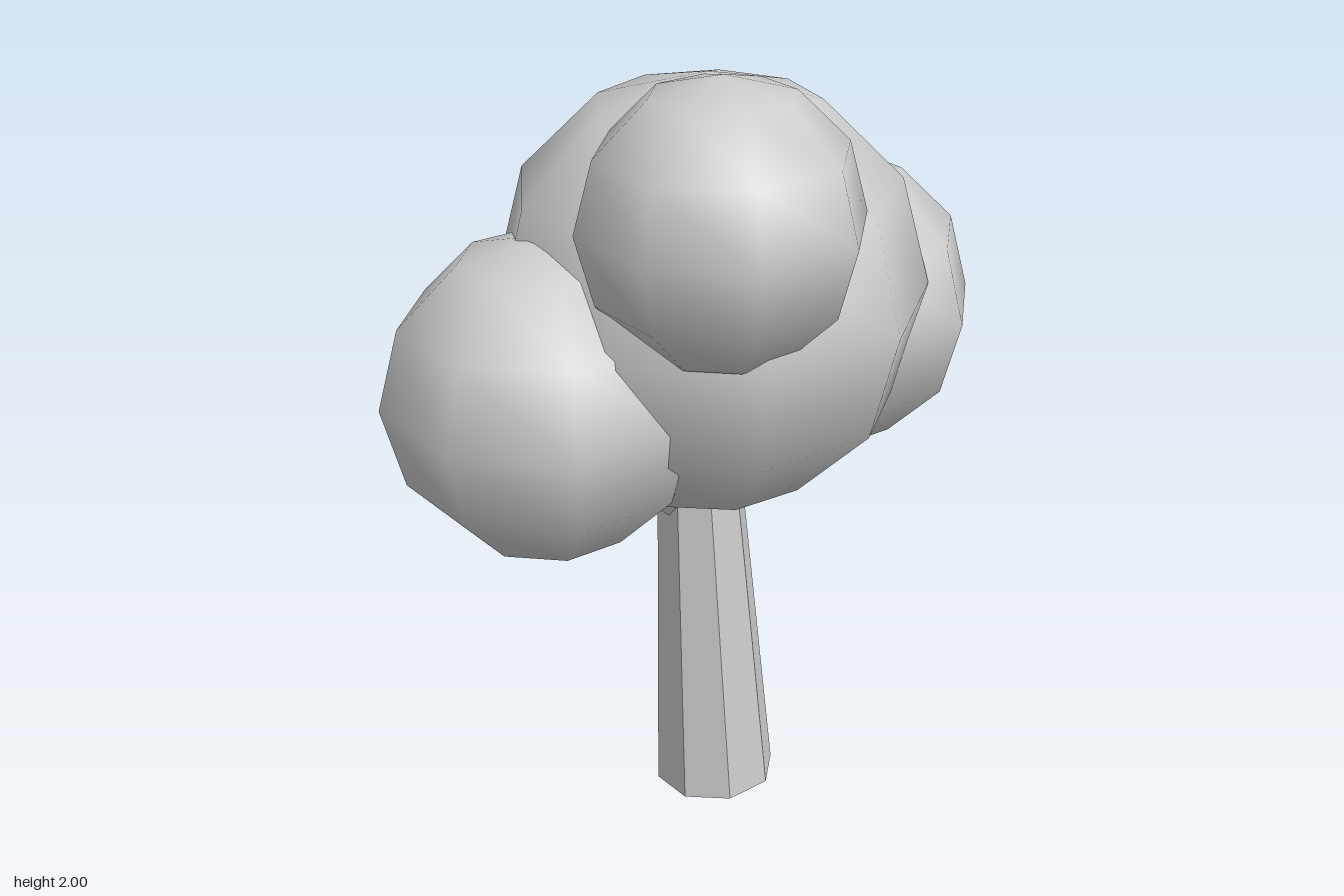
import * as THREE from 'three';

export function createModel() {
  const tree = new THREE.Group();
  tree.name = 'tree';

  const paleGrey = new THREE.MeshStandardMaterial({ color: 0xcccccc });
  paleGrey.name = 'paleGrey';

  // Faceted tapered limb between two points
  function limb(name, start, end, startRadius, endRadius, sides) {
    const a = new THREE.Vector3(...start);
    const b = new THREE.Vector3(...end);
    const dir = b.clone().sub(a);
    const geometry = new THREE.CylinderGeometry(endRadius, startRadius, dir.length(), sides).toNonIndexed();
    geometry.computeVertexNormals();
    const mesh = new THREE.Mesh(geometry, paleGrey);
    mesh.name = name;
    mesh.position.copy(a).add(b).multiplyScalar(0.5);
    mesh.quaternion.setFromUnitVectors(new THREE.Vector3(0, 1, 0), dir.normalize());
    tree.add(mesh);
  }

  // Leaning trunk, and a short branch into the left-hand foliage
  limb('trunk', [0.057, 0.01, -0.062], [0.005, 1.1, -0.065], 0.155, 0.095, 8);
  limb('branch', [0.02, 0.78, -0.06], [-0.3, 1.06, 0.04], 0.05, 0.04, 6);

  // Smooth-shaded, coarse foliage balls: name, centre, radius, segments
  const foliage = [
    ['mainFoliage', [0.035, 1.377, -0.062], 0.53, 9],
    ['frontFoliage', [-0.025, 1.67, 0.29], 0.33, 8],
    ['leftFoliage', [0.39, 1.25, -0.245], 0.375, 8],
    ['rightFoliage', [-0.38, 1.2, 0.052], 0.39, 8],
  ];
  for (const [name, centre, radius, segments] of foliage) {
    const mesh = new THREE.Mesh(new THREE.SphereGeometry(radius, segments, 6), paleGrey);
    mesh.name = name;
    mesh.position.set(...centre);
    mesh.rotation.y = Math.PI / 2;
    tree.add(mesh);
  }

  return tree;
}
